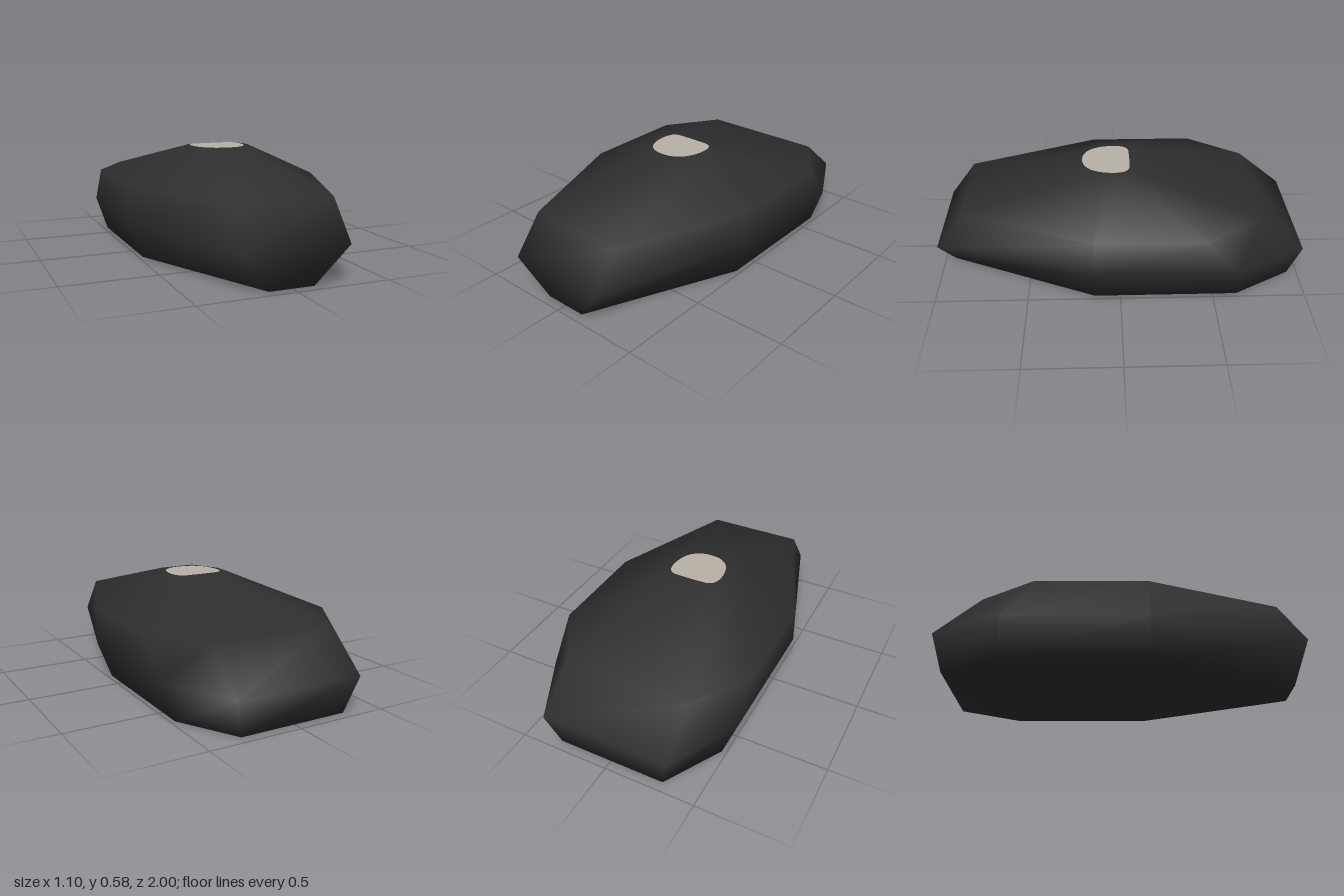
import * as THREE from 'three';

// Each level: height, then the four left-side corners [x, z] from front to back
const LEVELS = [
  { y: 0.0, half: [[0.12, 0.945], [0.475, 0.14], [0.475, -0.63], [0.30, -0.945]] },
  { y: 0.2, half: [[0.28, 1.0], [0.55, 0.15], [0.545, -0.62], [0.35, -1.0]] },
  { y: 0.403, half: [[0.27, 0.85], [0.55, 0.14], [0.55, -0.45], [0.35, -0.75]] },
  { y: 0.577, half: [[0.10, 0.23], [0.18, 0.07], [0.18, -0.01], [0.13, -0.07]] },
];

// Faceted shell: mirrored eight-cornered rings joined by walls and closed by caps
function shellGeometry() {
  const positions = [];
  const index = [];
  for (const { y, half } of LEVELS) {
    for (const [x, z] of half) positions.push(x, y, z);
    for (const [x, z] of [...half].reverse()) positions.push(-x, y, z);
  }
  for (let level = 0; level < LEVELS.length - 1; level++) {
    for (let i = 0; i < 8; i++) {
      const a = level * 8 + i;
      const b = level * 8 + ((i + 1) % 8);
      index.push(a, b, b + 8, a, b + 8, a + 8);
    }
  }
  const top = (LEVELS.length - 1) * 8;
  for (let i = 0; i < 3; i++) {
    const [a, b, c, d] = [i, i + 1, 6 - i, 7 - i];
    index.push(top + a, top + b, top + c, top + a, top + c, top + d);
    index.push(a, c, b, a, d, c);
  }
  const geometry = new THREE.BufferGeometry();
  geometry.setAttribute('position', new THREE.Float32BufferAttribute(positions, 3));
  geometry.setIndex(index);
  geometry.computeVertexNormals();
  return geometry;
}

// Rounded D-shaped spot, flat towards the back
function spotGeometry() {
  const shape = new THREE.Shape();
  shape.moveTo(0, 0.062);
  shape.lineTo(-0.09, 0.06);
  shape.bezierCurveTo(-0.13, 0.055, -0.148, 0.03, -0.148, -0.03);
  shape.bezierCurveTo(-0.145, -0.13, -0.10, -0.2, 0, -0.2);
  shape.bezierCurveTo(0.10, -0.2, 0.145, -0.13, 0.148, -0.03);
  shape.bezierCurveTo(0.148, 0.03, 0.13, 0.055, 0.09, 0.06);
  shape.closePath();
  return new THREE.ShapeGeometry(shape, 10).rotateX(-Math.PI / 2);
}

export function createModel() {
  const charcoal = new THREE.MeshStandardMaterial({ color: 0x2e2e2e });
  charcoal.name = 'charcoal';
  const paleGrey = new THREE.MeshStandardMaterial({ color: 0xb9b1a7 });
  paleGrey.name = 'paleGrey';

  const body = new THREE.Mesh(shellGeometry(), charcoal);
  body.name = 'body';

  const spot = new THREE.Mesh(spotGeometry(), paleGrey);
  spot.name = 'topSpot';
  spot.position.y = 0.58;

  const model = new THREE.Group();
  model.name = 'facetedShell';
  model.add(body, spot);
  return model;
}
